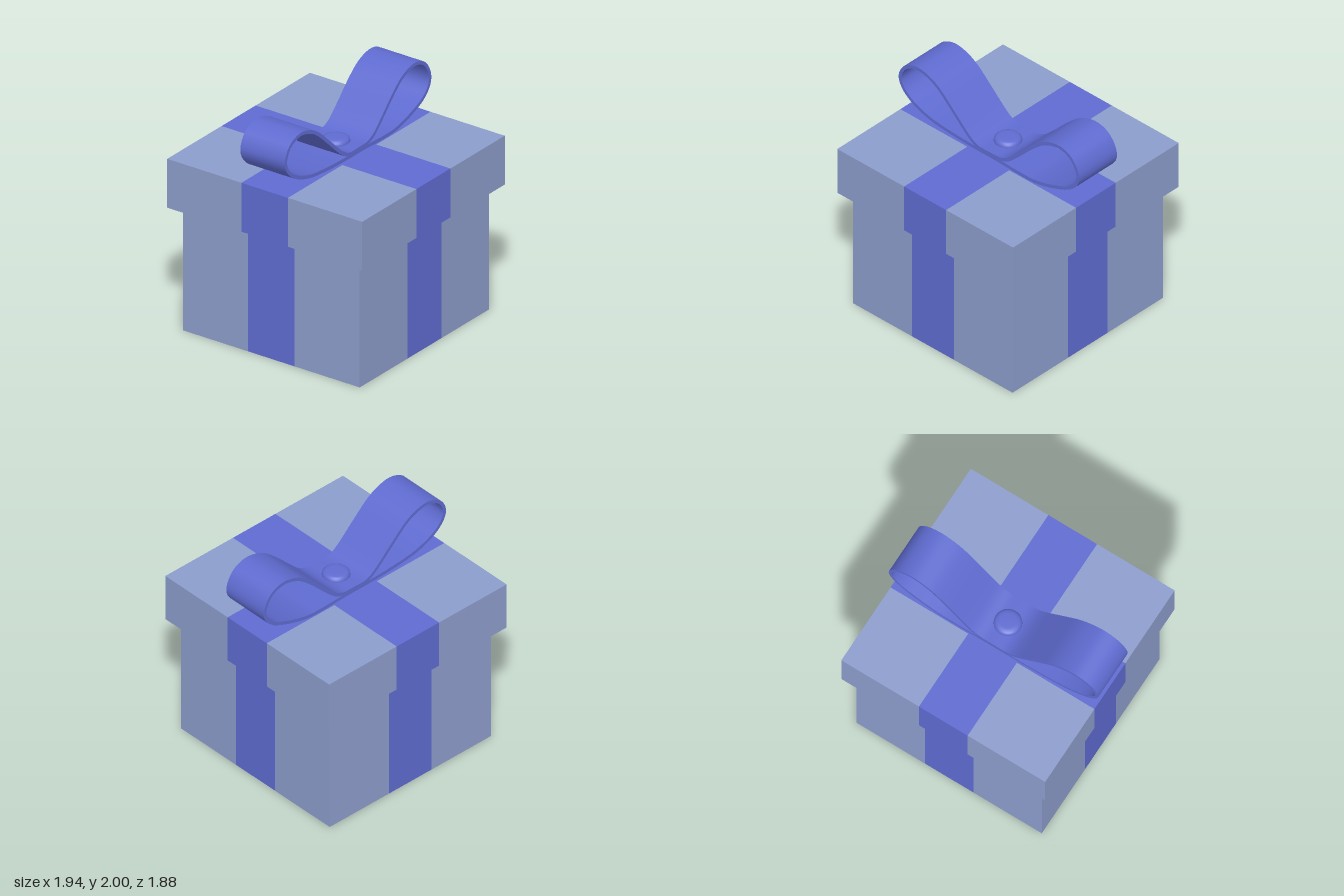
import * as THREE from 'three';
import { toCreasedNormals } from 'three/addons/utils/BufferGeometryUtils.js';

const BAND = 0.225; // half width of the ribbon wrapped round the box

export function createModel() {
  const model = new THREE.Group();
  const paper = new THREE.MeshStandardMaterial({ color: 0x8c9ccb });
  const ribbon = new THREE.MeshStandardMaterial({ color: 0x5f6bd0 });

  const add = (parent, name, geometry, material) => {
    const mesh = new THREE.Mesh(geometry, material);
    mesh.name = name;
    parent.add(mesh);
    return mesh;
  };

  // A box whose faces are divided into paper corners and a ribbon cross
  function wrappedBox(name, half, y0, y1) {
    const box = new THREE.BoxGeometry(2 * half, y1 - y0, 2 * half, 3, 1, 3);
    box.translate(0, (y0 + y1) / 2, 0);
    const pos = box.attributes.position;
    const snap = v => (Math.abs(v) < half * 0.9 ? Math.sign(v) * BAND : v);
    for (let i = 0; i < pos.count; i++) {
      pos.setX(i, snap(pos.getX(i)));
      pos.setZ(i, snap(pos.getZ(i)));
    }
    const faces = { paper: [], ribbon: [] };
    for (let i = 0; i < box.index.count; i += 3) {
      const tri = [0, 1, 2].map(k => box.index.getX(i + k));
      const cx = tri.reduce((s, v) => s + pos.getX(v), 0) / 3;
      const cz = tri.reduce((s, v) => s + pos.getZ(v), 0) / 3;
      const inBand = Math.abs(cx) < BAND || Math.abs(cz) < BAND;
      faces[inBand ? 'ribbon' : 'paper'].push(...tri);
    }
    const group = new THREE.Group();
    group.name = name;
    for (const [part, material] of [['paper', paper], ['ribbon', ribbon]]) {
      const g = box.clone();
      g.clearGroups();
      g.setIndex(faces[part]);
      add(group, name + (part === 'paper' ? 'Paper' : 'Ribbon'), g, material);
    }
    model.add(group);
  }
  wrappedBox('body', 0.855, 0, 1.075);
  wrappedBox('lid', 0.942, 1.075, 1.5);

  // A bow loop: a strip of even thickness following a path, extruded in z
  function bowLoop(name, points) {
    const t = 0.015, depth = 0.43;
    const curve = new THREE.CatmullRomCurve3(points.map(([x, y]) => new THREE.Vector3(x, y, 0)));
    const sides = [[], []];
    const n = 56;
    for (let i = 0; i <= n; i++) {
      const p = curve.getPoint(i / n), d = curve.getTangent(i / n);
      sides[0].push(new THREE.Vector2(p.x - d.y * t, p.y + d.x * t));
      sides[1].push(new THREE.Vector2(p.x + d.y * t, p.y - d.x * t));
    }
    const shape = new THREE.Shape([...sides[0], ...sides[1].reverse()]);
    const g = new THREE.ExtrudeGeometry(shape, { depth, bevelEnabled: false, steps: 1 });
    g.translate(0, 0, -depth / 2);
    add(model, name, toCreasedNormals(g, 0.7), ribbon);
  }
  bowLoop('leftBowLoop', [
    [0, 1.545], [0.12, 1.55], [0.2, 1.585], [0.29, 1.665], [0.48, 1.855], [0.6, 1.945],
    [0.75, 1.985], [0.87, 1.945], [0.942, 1.84], [0.945, 1.75], [0.87, 1.655],
    [0.7, 1.575], [0.5, 1.522], [0.35, 1.515], [0.12, 1.523], [0, 1.525],
  ]);
  bowLoop('rightBowLoop', [
    [0, 1.545], [-0.11, 1.545], [-0.19, 1.58], [-0.4, 1.77], [-0.54, 1.895], [-0.64, 1.95],
    [-0.77, 1.975], [-0.9, 1.92], [-0.955, 1.81], [-0.93, 1.725], [-0.84, 1.64],
    [-0.65, 1.565], [-0.4, 1.535], [-0.15, 1.525], [0, 1.525],
  ]);

  // Rounded button that pins the bow
  const profile = [
    [0, 1.5], [0.112, 1.5], [0.112, 1.565], [0.108, 1.58], [0.098, 1.591],
    [0.084, 1.598], [0.06, 1.6], [0, 1.6],
  ].map(([r, y]) => new THREE.Vector2(r, y));
  add(model, 'bowButton', toCreasedNormals(new THREE.LatheGeometry(profile, 32), 0.7), ribbon);

  return model;
}
